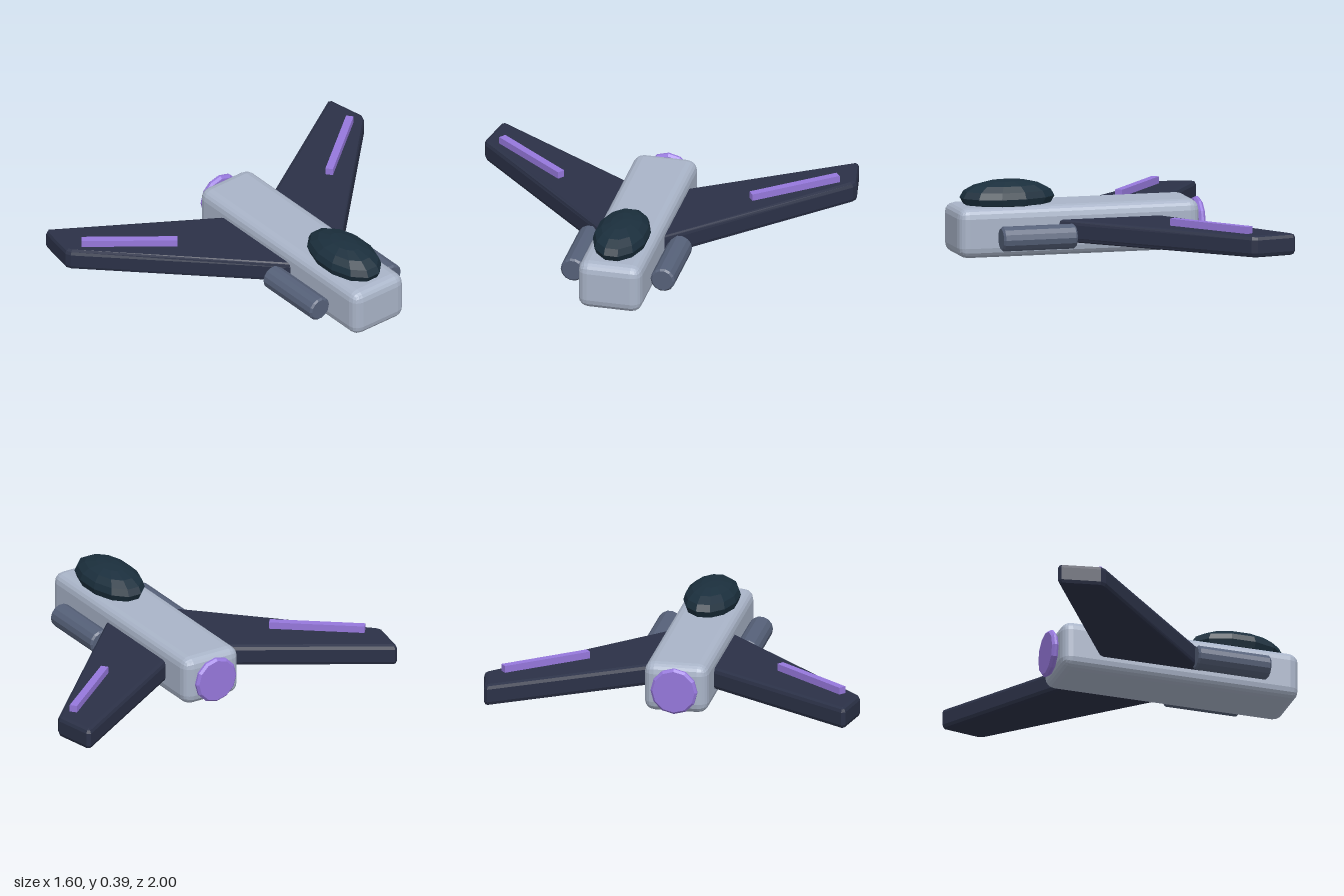
import * as THREE from 'three';
import { RoundedBoxGeometry } from 'three/addons/geometries/RoundedBoxGeometry.js';

const material = (color) => new THREE.MeshStandardMaterial({ color, flatShading: true });

export function createModel() {
  const model = new THREE.Group();
  const hullMat = material(0xa9b4c8), wingMat = material(0x2b3147), glassMat = material(0x1b2f3d);
  const podMat = material(0x566179), glowMat = material(0x9678dc);

  function add(name, geometry, mat, x, y, z) {
    const mesh = new THREE.Mesh(geometry, mat);
    mesh.name = name;
    mesh.position.set(x, y, z);
    model.add(mesh);
    return mesh;
  }

  // Solid disc or rod along x with bevelled rims
  function bevelledRod(radius, length, bevel, sides) {
    const h = length / 2;
    const profile = [[0, -h], [radius - bevel, -h], [radius, bevel - h],
      [radius, h - bevel], [radius - bevel, h], [0, h]].map(([x, y]) => new THREE.Vector2(x, y));
    return new THREE.LatheGeometry(profile, sides).rotateZ(-Math.PI / 2);
  }

  // Hull, nose towards +x
  add('fuselage', new RoundedBoxGeometry(1.305, 0.264, 0.34, 2, 0.055), hullMat, 0.145, 0.132, 0);

  // Faceted canopy
  const canopy = new THREE.SphereGeometry(1, 12, 8).rotateY(Math.PI / 12).scale(0.255, 0.09, 0.145);
  add('canopy', canopy, glassMat, 0.495, 0.3, 0);

  // Rear thruster
  add('thruster', bevelledRod(0.124, 0.036, 0.012, 12), glowMat, -0.532, 0.132, 0);

  for (const side of [1, -1]) {
    const label = side > 0 ? 'front' : 'back';

    // Swept wing, root buried in the hull
    const outline = [[0.33, 0.1], [-0.55, 0.985], [-0.58, 0.998], [-0.785, 0.96], [-0.798, 0.94], [-0.27, 0.1]]
      .map(([x, z]) => new THREE.Vector2(x, z * side));
    const wing = new THREE.ExtrudeGeometry(new THREE.Shape(outline), {
      depth: 0.069, bevelThickness: 0.023, bevelSize: 0.023, bevelOffset: -0.023, bevelSegments: 2,
    }).rotateX(Math.PI / 2);
    add(label + 'Wing', wing, wingMat, 0, 0.167, 0);

    // Raised stripe along the wing
    const stripe = add(label + 'WingStripe', new THREE.BoxGeometry(0.5, 0.05, 0.04), glowMat, -0.41, 0.202, 0.705 * side);
    stripe.rotation.y = 0.9 * side;

    // Pod beside the nose
    add(label + 'Pod', bevelledRod(0.065, 0.4, 0.01, 14), podMat, 0.395, 0.112, 0.241 * side);
  }
  return model;
}
